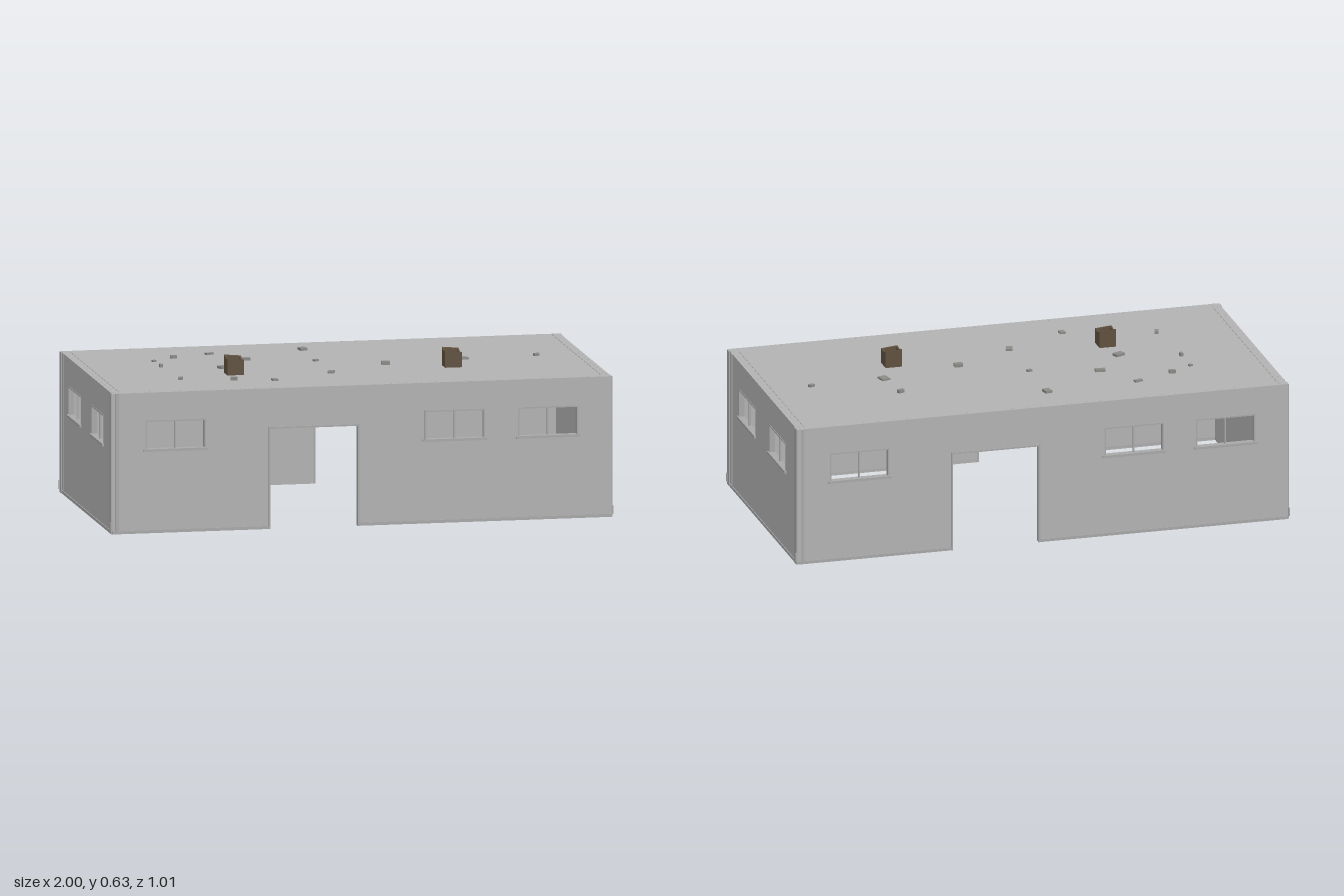
import * as THREE from 'three';

const wallMat = new THREE.MeshStandardMaterial({ color: 0xb2b2b2 });
wallMat.name = 'concrete';
const trimMat = new THREE.MeshStandardMaterial({ color: 0xa8a8a8 });
trimMat.name = 'trim grey';
const debrisMat = new THREE.MeshStandardMaterial({ color: 0x8a8a86 });
debrisMat.name = 'rubble grey';
const brownMat = new THREE.MeshStandardMaterial({ color: 0x5f503e });
brownMat.name = 'chimney brown';

const T = 0.02, HX = 0.992, HZ = 0.495, ROOF = 0.555, WALL_TOP = 0.54;
const SILL = 0.328, HEAD = 0.445;

function box(parent, name, mat, x0, x1, y0, y1, z0, z1) {
  const m = new THREE.Mesh(new THREE.BoxGeometry(x1 - x0, y1 - y0, z1 - z0), mat);
  m.position.set((x0 + x1) / 2, (y0 + y1) / 2, (z0 + z1) / 2);
  m.name = name;
  parent.add(m);
  return m;
}

// Wall facing +z with its outer face at z = 0, an optional door and framed windows
function makeWall(name, half, windows, door) {
  const g = new THREE.Group();
  g.name = name;
  const pts = [[-half, 0]];
  if (door) pts.push([door[0], 0], [door[0], door[2]], [door[1], door[2]], [door[1], 0]);
  pts.push([half, 0], [half, WALL_TOP], [-half, WALL_TOP]);
  const shape = new THREE.Shape(pts.map(p => new THREE.Vector2(...p)));
  for (const [a, b] of windows) {
    shape.holes.push(new THREE.Path([[a, SILL], [a, HEAD], [b, HEAD], [b, SILL]].map(p => new THREE.Vector2(...p))));
  }
  const wall = new THREE.Mesh(new THREE.ExtrudeGeometry(shape, { depth: T, bevelEnabled: false }), wallMat);
  wall.position.z = -T;
  wall.name = 'wallPanel';
  g.add(wall);

  for (const [a, b] of windows) {
    const w = new THREE.Group(), f = 0.006, mid = (a + b) / 2;
    w.name = 'windowFrame';
    box(w, 'windowJamb', trimMat, a, a + f, SILL, HEAD, -T, 0.002);
    box(w, 'windowJamb', trimMat, b - f, b, SILL, HEAD, -T, 0.002);
    box(w, 'windowHead', trimMat, a, b, HEAD - f, HEAD, -T, 0.002);
    box(w, 'windowMullion', trimMat, mid - 0.003, mid + 0.003, SILL, HEAD, -0.014, -0.006);
    box(w, 'windowSill', trimMat, a - 0.008, b + 0.008, SILL - 0.006, SILL + 0.004, -T, 0.008);
    g.add(w);
  }
  if (door) {
    const d = new THREE.Group(), f = 0.007, [a, b, h] = door;
    d.name = 'doorFrame';
    box(d, 'doorJamb', trimMat, a, a + f, 0, h, -T, 0.004);
    box(d, 'doorJamb', trimMat, b - f, b, 0, h, -T, 0.004);
    box(d, 'doorHead', trimMat, a, b, h - f, h, -T, 0.004);
    g.add(d);
  }
  // Low skirting, interrupted by the door
  const runs = door ? [[-half, door[0]], [door[1], half]] : [[-half, half]];
  for (const [a, b] of runs) box(g, 'skirting', trimMat, a, b, 0, 0.012, -T, 0.003);
  return g;
}

// One long wall and one end wall; the building repeats them after a half turn
function makeHalf() {
  const g = new THREE.Group();
  g.name = 'buildingHalf';
  const long = makeWall('longWall', HX, [[-0.86, -0.62], [0.25, 0.49], [0.62, 0.86]], [-0.37, -0.01, 0.402]);
  long.position.z = HZ;
  box(long, 'cornerStrip', trimMat, -0.978, -0.965, 0.012, ROOF - 0.001, 0, 0.004);
  g.add(long);
  const end = makeWall('endWall', HZ - T, [[-0.335, -0.1], [0.1, 0.335]]);
  end.rotation.y = Math.PI / 2;
  end.position.x = HX;
  box(end, 'cornerStrip', trimMat, -0.442, -0.434, 0.015, ROOF - 0.001, 0, 0.003);
  for (const s of [-1, 1]) {
    box(end, 'cornerPost', trimMat, s * 0.48 - 0.015, s * 0.48 + 0.015, 0, ROOF - 0.001, 0, 0.004);
    box(end, 'cornerGuard', trimMat, s * 0.492 - 0.007, s * 0.492 + 0.007, 0.012, 0.045, 0, 0.008);
  }
  g.add(end);
  return g;
}

// Open chimney with a broken, uneven rim
function makeChimney(x, z) {
  const g = new THREE.Group(), r = 0.033, t = 0.007;
  g.name = 'chimney';
  const sides = [[-r, r, r - t, r], [-r, r, -r, -r + t], [-r, -r + t, -r, r], [r - t, r, -r, r]];
  for (const [x0, x1, z0, z1] of sides) {
    const geo = new THREE.BoxGeometry(x1 - x0, 0.065, z1 - z0, 2, 1, 2);
    geo.translate((x0 + x1) / 2, 0.0325, (z0 + z1) / 2);
    const p = geo.attributes.position;
    for (let i = 0; i < p.count; i++) {
      if (p.getY(i) < 0.03) continue;
      const px = p.getX(i) / r, pz = p.getZ(i) / r;
      p.setY(i, 0.059 + 0.007 * Math.abs(pz) - 0.003 * px - 0.003 * pz);
    }
    geo.computeVertexNormals();
    const m = new THREE.Mesh(geo, brownMat);
    m.name = 'chimneySide';
    g.add(m);
  }
  box(g, 'chimneyFill', brownMat, -r + t, r - t, 0, 0.045, -r + t, r - t);
  g.position.set(x, ROOF, z);
  return g;
}

export function createModel() {
  const model = new THREE.Group();
  model.name = 'building';
  for (const turn of [0, Math.PI]) {
    const half = makeHalf();
    half.rotation.y = turn;
    model.add(half);
  }
  box(model, 'roof', wallMat, -HX, HX, WALL_TOP, ROOF, -HZ, HZ);

  // Narrow roof ribs beside the ends
  for (const s of [-1, 1]) box(model, 'roofRib', trimMat, s * 0.958 - 0.002, s * 0.958 + 0.002, ROOF, ROOF + 0.001, -0.47, 0.46);

  // Small rivets along the roof edges
  const rivetSpots = [];
  for (let i = 0; i <= 32; i++) for (const s of [-1, 1]) rivetSpots.push([-0.96 + i * 0.06, s * 0.482]);
  for (let i = 0; i <= 16; i++) for (const s of [-1, 1]) rivetSpots.push([s * 0.978, -0.46 + i * 0.0575]);
  const rivetGeo = new THREE.CylinderGeometry(0.002, 0.002, 0.001, 6);
  for (const [x, z] of rivetSpots) {
    const m = new THREE.Mesh(rivetGeo, trimMat);
    m.position.set(x, ROOF + 0.0005, z);
    m.name = 'rivet';
    model.add(m);
  }

  model.add(makeChimney(-0.435, 0.145), makeChimney(0.43, 0.145));

  // Loose rubble: x, z, width, depth, turn
  const rubble = [
    [-0.44, -0.305, 0.032, 0.018, 0.3], [-0.065, -0.33, 0.028, 0.034, 0.2], [-0.595, -0.245, 0.026, 0.014, -0.1],
    [-0.685, -0.185, 0.014, 0.014, 0.4], [-0.33, -0.15, 0.04, 0.02, -0.1], [-0.683, -0.06, 0.012, 0.018, 0.1],
    [-0.065, -0.075, 0.02, 0.016, 0.4], [-0.45, 0.01, 0.04, 0.028, 0.45], [0.485, -0.18, 0.026, 0.016, 0.4],
    [0.505, -0.01, 0.034, 0.042, 0.25], [0.8, -0.02, 0.022, 0.014, 0.4], [0.185, 0.055, 0.034, 0.024, -0.1],
    [-0.06, 0.195, 0.026, 0.036, -0.3], [-0.665, 0.228, 0.016, 0.028, -0.3], [-0.465, 0.287, 0.026, 0.014, -0.2],
    [-0.31, 0.325, 0.022, 0.028, 0.1],
  ];
  rubble.forEach(([x, z, w, d, turn], i) => {
    const h = 0.007 + (i % 3) * 0.003;
    const m = new THREE.Mesh(new THREE.BoxGeometry(w, h, d), debrisMat);
    m.position.set(x, ROOF + h / 2, z);
    m.rotation.y = turn;
    m.name = 'rubble';
    model.add(m);
  });
  return model;
}
